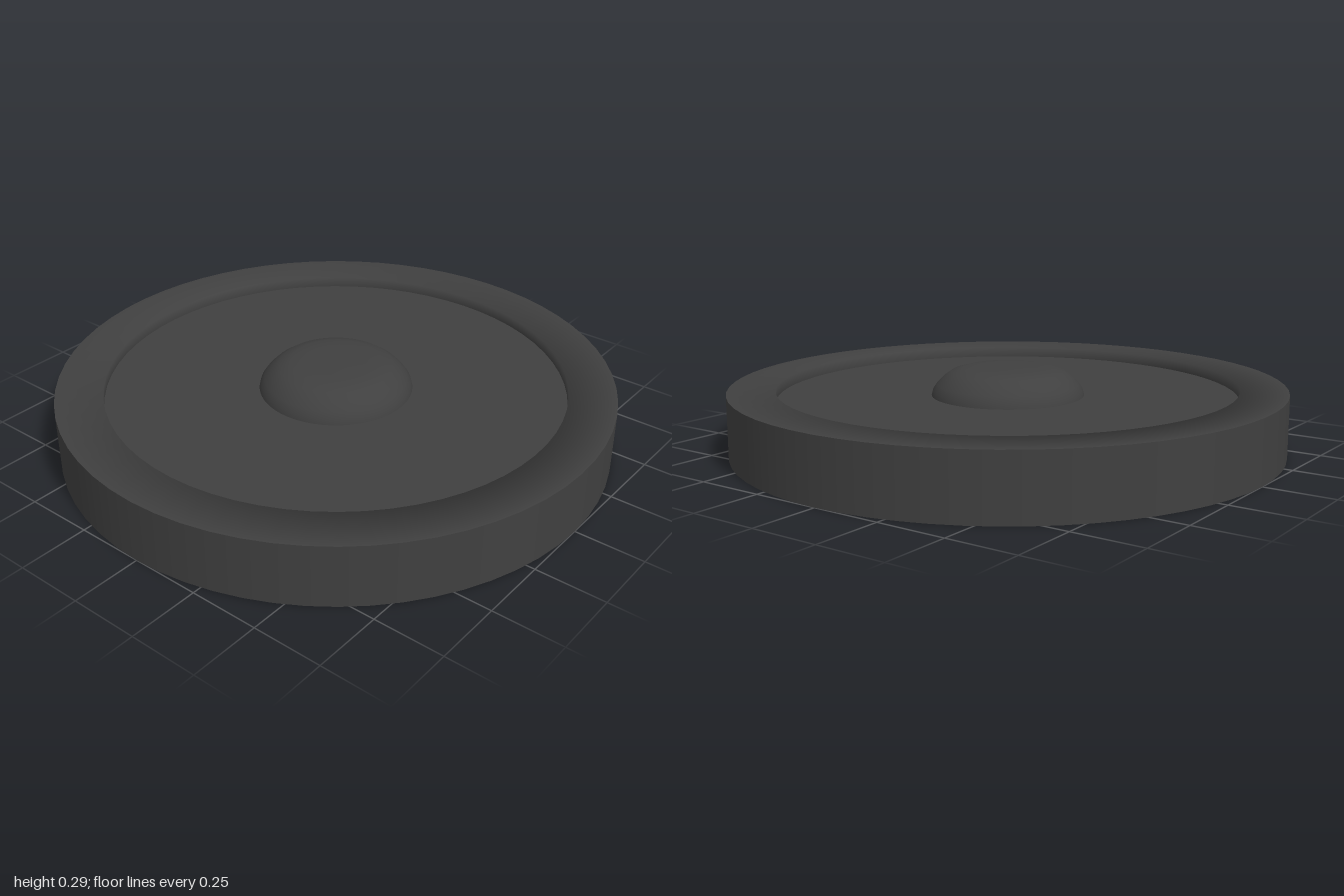
import * as THREE from 'three';

const SEGMENTS = 64;
const R = 1, INNER = 0.83, TOP = 0.226, FLOOR = 0.187, UNDER = 0.02;

export function createModel() {
  const group = new THREE.Group();
  const material = new THREE.MeshStandardMaterial({ color: 0x404040 });

  // Each profile is turned about y; separate profiles keep the edges between them sharp
  const turn = (name, profile) => {
    const geometry = new THREE.LatheGeometry(profile.map(([r, y]) => new THREE.Vector2(r, y)), SEGMENTS);
    const mesh = new THREE.Mesh(geometry, material);
    mesh.name = name;
    group.add(mesh);
    return geometry;
  };

  // Rim: outer wall, flat underside and the short wall of the recess below
  turn('outerWall', [[R, 0], [R, TOP]]);
  turn('rimUnderside', [[INNER, 0], [R, 0]]);
  turn('undersideStep', [[INNER, UNDER], [INNER, 0]]);

  // Rim top and its drop to the inner disc, shaded softly over the lip
  const rim = turn('rimTop', [[R, TOP], [INNER, TOP], [INNER, FLOOR]]);
  const normals = rim.attributes.normal;
  for (let i = 0; i <= SEGMENTS; i++) {
    const a = (i / SEGMENTS) * Math.PI * 2, k = Math.SQRT1_2;
    normals.setXYZ(i * 3 + 1, -Math.sin(a) * k, k, -Math.cos(a) * k);
  }

  // Recessed disc, seen from above and below
  turn('innerDisc', [[INNER, FLOOR], [0, FLOOR]]);
  turn('undersideDisc', [[0, UNDER], [INNER, UNDER]]);

  // Low rounded button in the middle
  turn('centreButton', [
    [0.277, FLOOR], [0.272, 0.207], [0.258, 0.228], [0.235, 0.252],
    [0.205, 0.273], [0.165, 0.285], [0.11, 0.289], [0, 0.29],
  ]);

  return group;
}
